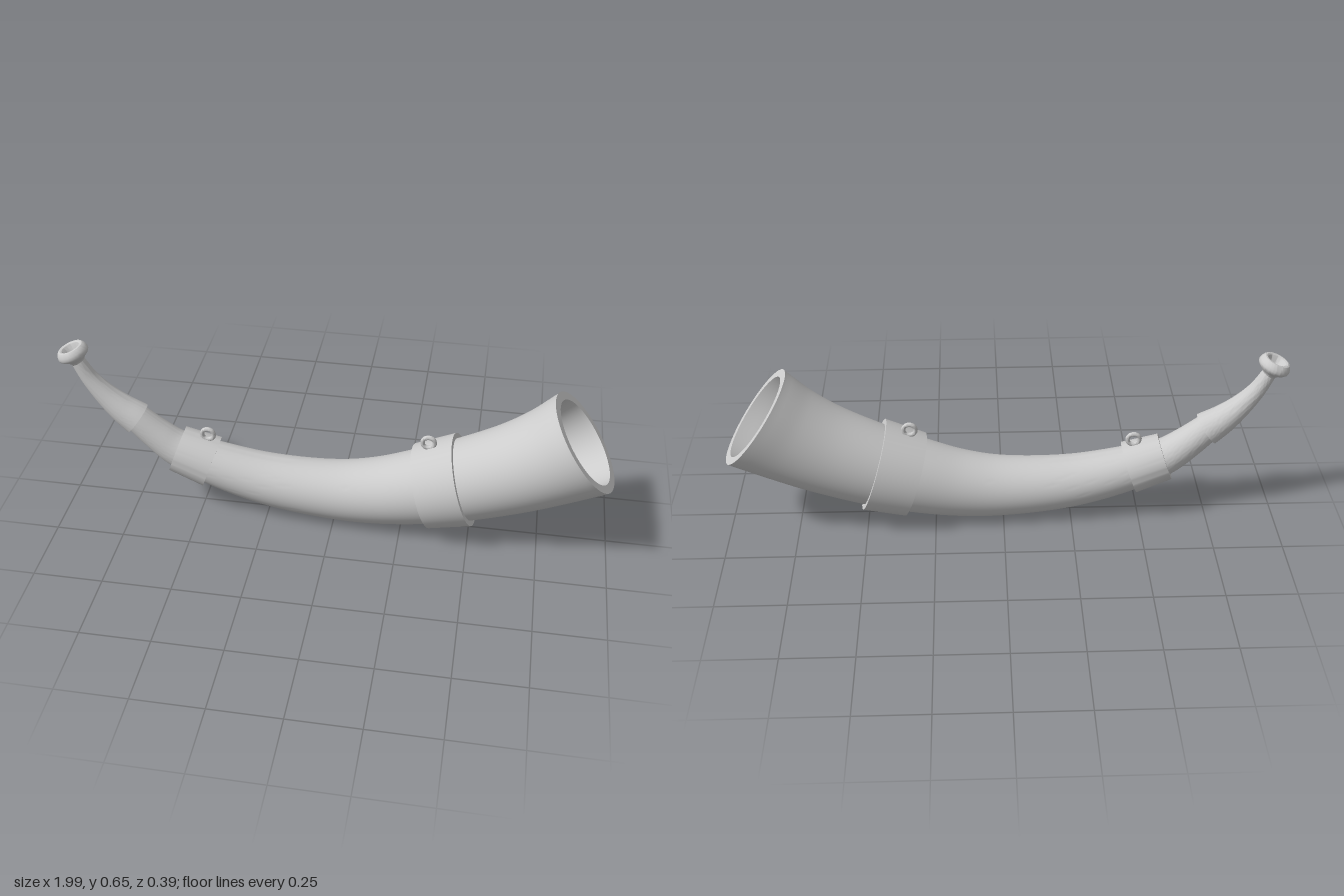
import * as THREE from 'three';
import { toCreasedNormals } from 'three/addons/utils/BufferGeometryUtils.js';

const SIDES = 64;

function addMesh(group, name, geometry) {
  const material = new THREE.MeshStandardMaterial({ color: 0xcccccc, side: THREE.DoubleSide });
  const mesh = new THREE.Mesh(toCreasedNormals(geometry, 0.6), material);
  mesh.name = name;
  group.add(mesh);
  return mesh;
}

// Samples a planar spine given as [x, y, radius]; each row keeps its tangent
function spineRows(points, count) {
  const curve = new THREE.CatmullRomCurve3(points.map((p) => new THREE.Vector3(...p)), false, 'centripetal');
  return Array.from({ length: count + 1 }, (_, i) => {
    const p = curve.getPoint(i / count), t = curve.getTangent(i / count);
    const len = Math.hypot(t.x, t.y);
    return { x: p.x, y: p.y, r: p.z, tx: t.x / len, ty: t.y / len };
  });
}

// Skins round cross-sections set square to the spine
function loft(rows) {
  const pos = [], index = [], w = SIDES + 1;
  rows.forEach(({ x, y, r, tx, ty }, i) => {
    for (let j = 0; j <= SIDES; j++) {
      const a = ((j % SIDES) / SIDES) * Math.PI * 2, n = r * Math.cos(a);
      pos.push(x - ty * n, y + tx * n, r * Math.sin(a));
      if (i < rows.length - 1 && j < SIDES) {
        const k = i * w + j;
        index.push(k, k + 1, k + w, k + 1, k + w + 1, k + w);
      }
    }
  });
  const g = new THREE.BufferGeometry();
  g.setAttribute('position', new THREE.Float32BufferAttribute(pos, 3));
  g.setIndex(index);
  return g;
}

// Turned part whose axis starts at (x, y) and points along (dx, dy)
function turned(group, name, profile, x, y, dx, dy) {
  const points = profile.map(([r, h]) => new THREE.Vector2(r, h));
  const mesh = addMesh(group, name, new THREE.LatheGeometry(points, SIDES));
  mesh.position.set(x, y, 0);
  mesh.rotation.z = Math.atan2(dy, dx) - Math.PI / 2;
}

// Flat-ended tapered sleeve between two spine points [x, y, outer, inner]
function band(group, name, [x0, y0, r0, i0], [x1, y1, r1, i1]) {
  const h = Math.hypot(x1 - x0, y1 - y0);
  const profile = [[i0, 0], [r0, 0], [r1, h], [i1, h], [i0, 0]];
  turned(group, name, profile, x0, y0, x1 - x0, y1 - y0);
}

export function createModel() {
  const group = new THREE.Group();
  group.name = 'horn';

  // Curved hollow body: outer wall, flat rim, then inner wall back to a closed end
  const outer = spineRows([
    [-0.75, 0.37, 0.05], [-0.66, 0.287, 0.06], [-0.591, 0.235, 0.068],
    [-0.463, 0.185, 0.083], [-0.25, 0.132, 0.098], [0, 0.115, 0.112],
    [0.16, 0.131, 0.124], [0.323, 0.172, 0.139], [0.47, 0.222, 0.15],
    [0.65, 0.3, 0.163], [0.77, 0.368, 0.176], [0.875, 0.44, 0.194],
  ], 72);
  Object.assign(outer.at(-1), { tx: 0.79, ty: 0.613 });
  const inner = outer.map((row) => ({ ...row, r: row.r * 0.84 })).reverse();
  addMesh(group, 'body', loft([...outer, ...inner, { ...inner.at(-1), r: 0 }]));

  // Reinforcing bands
  band(group, 'frontBand', [0.323, 0.174, 0.157, 0.133], [0.47, 0.222, 0.17, 0.147]);
  band(group, 'rearBand', [-0.591, 0.233, 0.087, 0.064], [-0.463, 0.187, 0.097, 0.08]);

  // Strap loops on top of the bands
  for (const [name, x, y] of [['frontLoop', 0.335, 0.371], ['rearLoop', -0.472, 0.312]]) {
    addMesh(group, name, new THREE.TorusGeometry(0.022, 0.008, 12, 32)).position.set(x, y, 0);
  }

  // Mouthpiece stem, stepped out over the thin end of the body
  const stem = spineRows([
    [-0.733, 0.353, 0.062], [-0.785, 0.392, 0.053], [-0.843, 0.448, 0.041],
    [-0.895, 0.515, 0.031], [-0.934, 0.59, 0.025],
  ], 24);
  addMesh(group, 'mouthpieceStem', loft([{ ...stem[0], r: 0.03 }, ...stem]));

  // Mouthpiece cup with a rounded rim and a tapering bore
  turned(group, 'mouthpieceCup', [
    [0.024, -0.006], [0.027, 0.004], [0.036, 0.013], [0.05, 0.023], [0.056, 0.03],
    [0.058, 0.037], [0.056, 0.046], [0.051, 0.056], [0.046, 0.061], [0.04, 0.062],
    [0.034, 0.059], [0.029, 0.05], [0.02, 0.025], [0.012, 0.005], [0, 0],
  ], -0.931, 0.582, -0.37, 0.93);

  return group;
}
